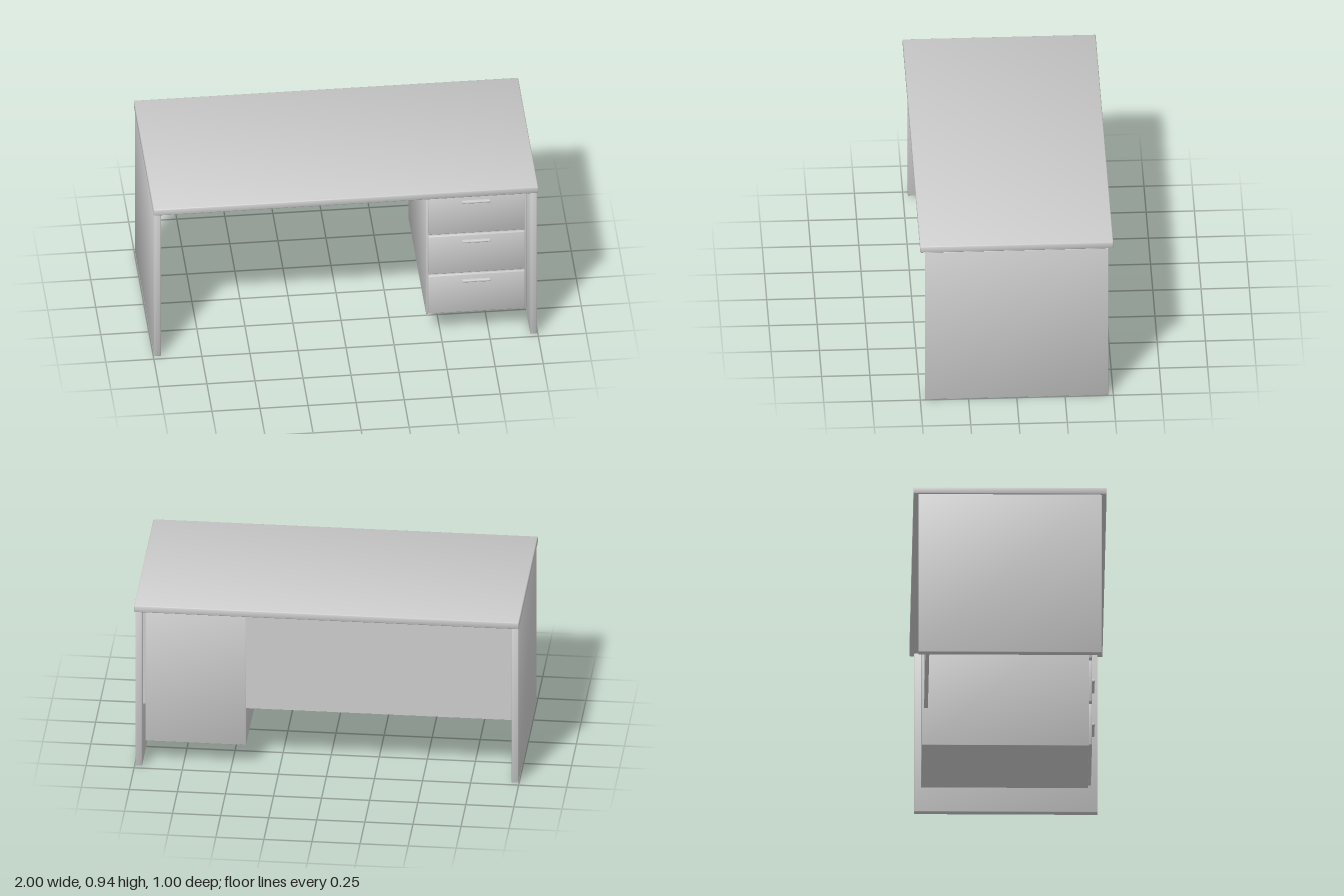
import * as THREE from 'three';
import { RoundedBoxGeometry } from 'three/addons/geometries/RoundedBoxGeometry.js';

export function createModel() {
  const desk = new THREE.Group();
  desk.name = 'desk';
  const grey = new THREE.MeshStandardMaterial({ color: 0xcccccc });
  grey.name = 'grey';

  // places a geometry by its minimum and maximum corners
  function place(name, geometry, min, max) {
    const mesh = new THREE.Mesh(geometry, grey);
    mesh.name = name;
    mesh.position.set(...min.map((v, i) => (v + max[i]) / 2));
    desk.add(mesh);
  }
  const size = (min, max) => max.map((v, i) => v - min[i]);

  // board with a small bevel, its normals leaning softly outwards at the rims
  function board(name, min, max, bevel, lean = 0.35) {
    const geometry = new RoundedBoxGeometry(...size(min, max), 1, bevel);
    const p = geometry.attributes.position;
    const n = geometry.attributes.normal;
    const v = new THREE.Vector3();
    for (let i = 0; i < p.count; i++) {
      v.fromBufferAttribute(n, i);
      v.x += lean * Math.sign(p.getX(i));
      v.y += lean * Math.sign(p.getY(i));
      v.z += lean * Math.sign(p.getZ(i));
      v.normalize();
      n.setXYZ(i, v.x, v.y, v.z);
    }
    place(name, geometry, min, max);
  }

  // top and the two side panels
  board('tabletop', [-1, 0.902, -0.5], [1, 0.94, 0.5], 0.005);
  board('rightSidePanel', [-0.996, 0, -0.475], [-0.961, 0.902, 0.475], 0.003);
  board('leftSidePanel', [0.961, 0, -0.475], [0.996, 0.902, 0.475], 0.003);

  // flat panel closing the back between the sides
  const backMin = [-0.961, 0.34, -0.43];
  const backMax = [0.961, 0.902, -0.41];
  place('backPanel', new THREE.BoxGeometry(...size(backMin, backMax)), backMin, backMax);

  // drawer cabinet
  board('drawerCabinet', [0.424, 0.13, -0.44], [0.946, 0.877, 0.425], 0.002);

  // three drawers, each with a slim bar handle
  for (let i = 0; i < 3; i++) {
    const y = 0.14 + i * 0.248;
    board('drawerFront', [0.435, y, 0.41], [0.936, y + 0.236, 0.44], 0.004);
    const h = y + 0.193;
    board('drawerHandle', [0.608, h, 0.435], [0.758, h + 0.014, 0.456], 0.006, 0);
  }

  return desk;
}
